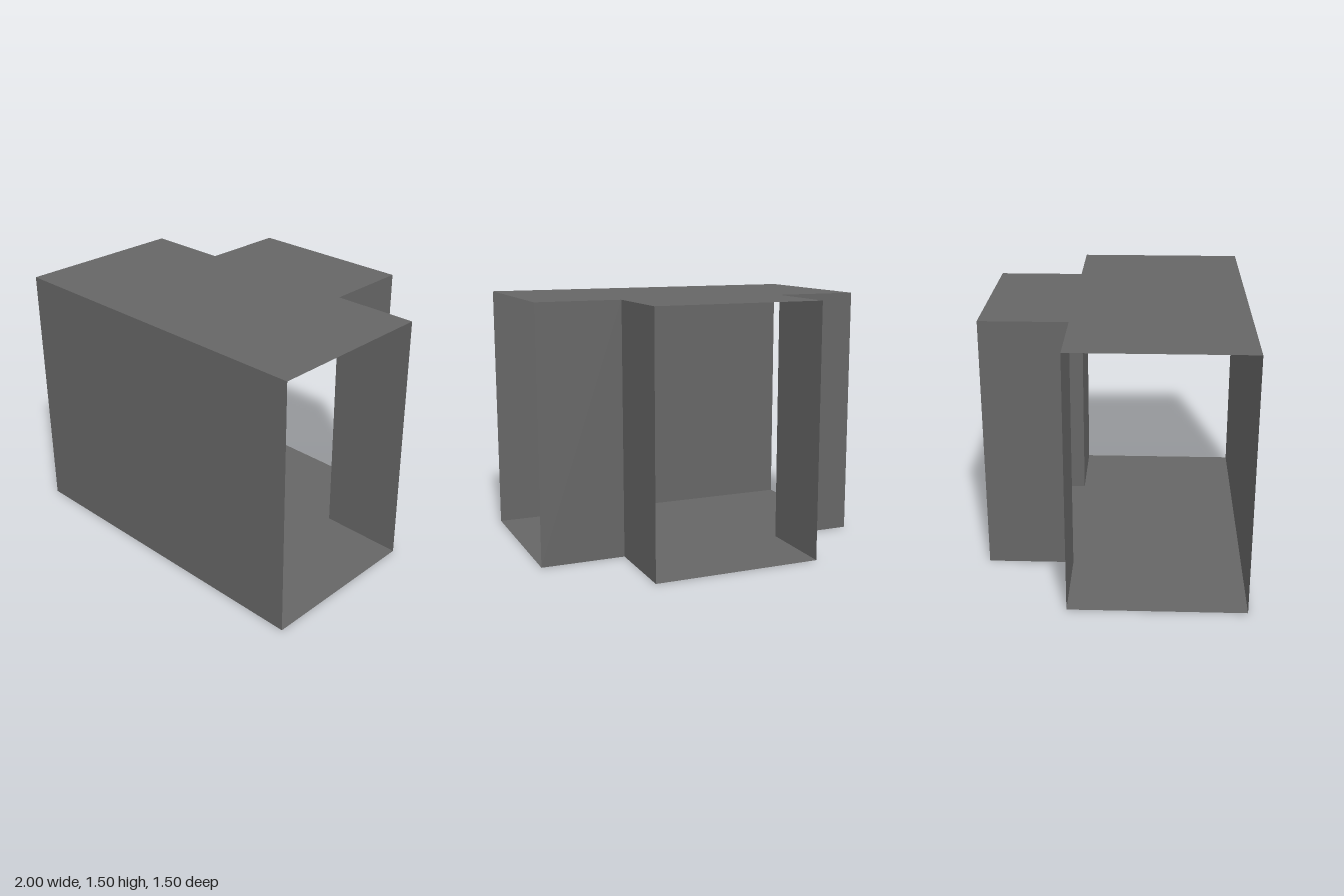
import * as THREE from 'three';

const HEIGHT = 1.5;

export function createModel() {
  const group = new THREE.Group();
  const grey = new THREE.MeshStandardMaterial({ color: 0x666666, side: THREE.DoubleSide });
  grey.name = 'grey';

  const add = (name, geometry, x, y, z, turn = 0) => {
    const mesh = new THREE.Mesh(geometry, grey);
    mesh.name = name;
    mesh.position.set(x, y, z);
    mesh.rotation.y = turn;
    group.add(mesh);
  };

  // T-shaped slab; up = 1 faces upward, up = -1 faces downward
  const slab = (up) => {
    const outline = [
      [-1, 0.75], [1, 0.75], [1, -0.25], [0.5, -0.25],
      [0.5, -0.75], [-0.5, -0.75], [-0.5, -0.25], [-1, -0.25],
    ];
    const shape = new THREE.Shape(outline.map(([x, z]) => new THREE.Vector2(x, -up * z)));
    return new THREE.ShapeGeometry(shape).rotateX(-up * Math.PI / 2);
  };
  add('floor', slab(-1), 0, 0, 0);
  add('roof', slab(1), 0, HEIGHT, 0);

  // Full-width front wall
  add('frontWall', new THREE.PlaneGeometry(2, HEIGHT), 0, HEIGHT / 2, 0.75);

  // Mirrored back walls and the side walls of the rear bay; ends stay open
  for (const [label, s] of [['left', 1], ['right', -1]]) {
    const panel = new THREE.PlaneGeometry(0.5, HEIGHT);
    add(label + 'BackWall', panel, s * 0.75, HEIGHT / 2, -0.25, Math.PI);
    add(label + 'BayWall', panel, s * 0.5, HEIGHT / 2, -0.5, s * Math.PI / 2);
  }
  return group;
}
